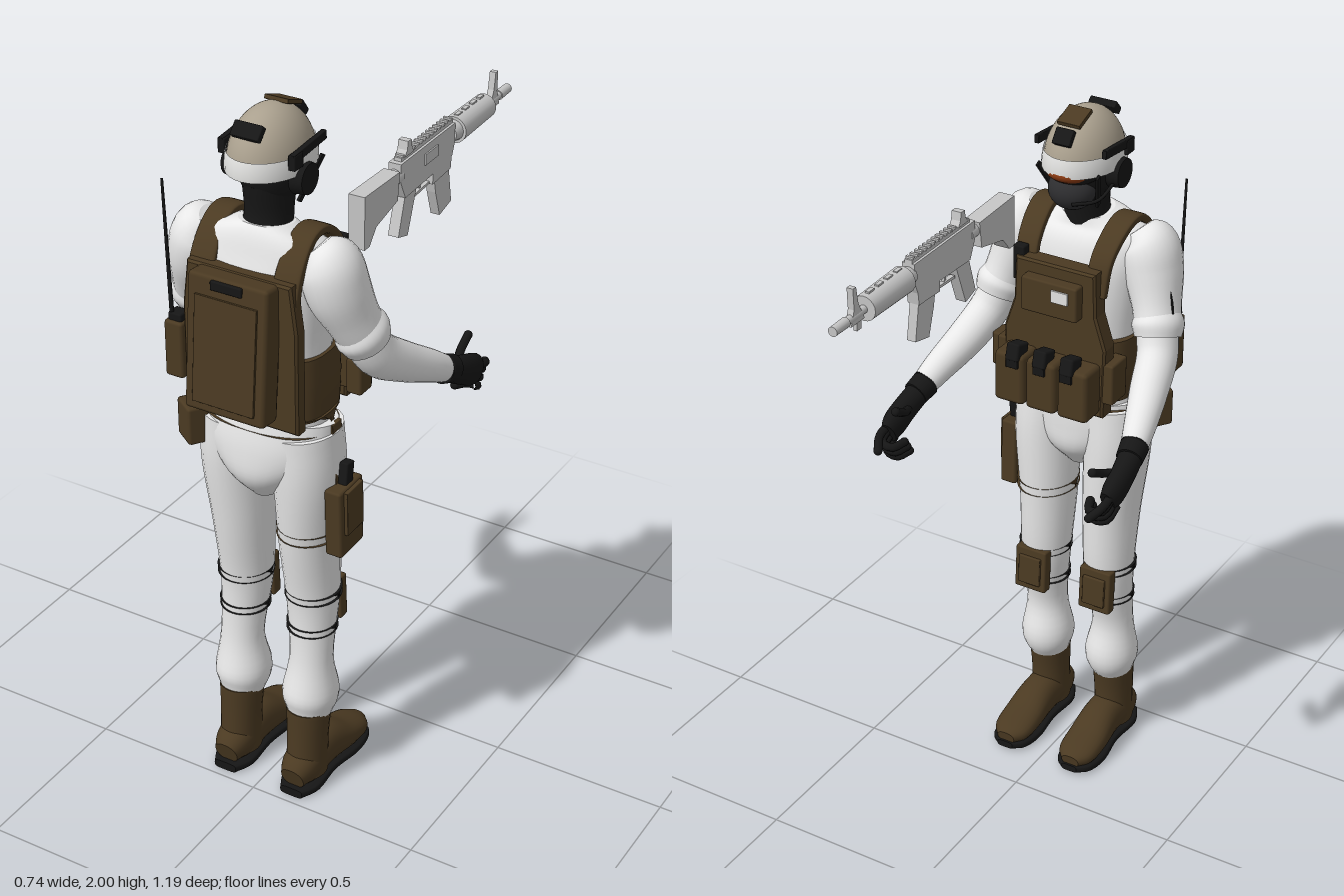
import * as THREE from 'three';
import { RoundedBoxGeometry } from 'three/addons/geometries/RoundedBoxGeometry.js';

const mat = (name, color, side = THREE.FrontSide) => {
  const m = new THREE.MeshStandardMaterial({ color, side });
  m.name = name;
  return m;
};

export function createModel() {
  const root = new THREE.Group();
  root.name = 'soldier';
  const suit = mat('white suit', 0xf2f2f2), brown = mat('brown gear', 0x4b3a22);
  const black = mat('black', 0x161616), shell = mat('helmet beige', 0xaaa08e, THREE.DoubleSide);
  const gun = mat('rifle grey', 0xc6c6c6), orange = mat('orange lens', 0x8a3a12);
  const grey = mat('dark grey mask', 0x2e2e30), trim = mat('helmet trim', 0xe4e4e2, THREE.DoubleSide);

  const add = (name, geo, m, parent = root) => {
    const mesh = new THREE.Mesh(geo, m);
    mesh.name = name;
    parent.add(mesh);
    return mesh;
  };
  const box = (name, m, [w, h, d], [x, y, z], [rx, ry, rz] = [0, 0, 0], parent = root) => {
    const b = add(name, new RoundedBoxGeometry(w, h, d, 1, Math.min(w, h, d) * 0.15), m, parent);
    b.position.set(x, y, z);
    b.rotation.set(rx, ry, rz);
    return b;
  };
  const ball = (name, m, [w, h, d], [x, y, z], t0 = 0, t1 = Math.PI) => {
    const b = add(name, new THREE.SphereGeometry(1, 32, 20, 0, Math.PI * 2, t0, t1 - t0), m);
    b.scale.set(w, h, d);
    b.position.set(x, y, z);
    return b;
  };

  // Smooth skin over sections [x, y, z, half width, half depth]; n above 2 squares the outline
  const loft = (name, m, secs, n = 2, seg = 24, sub = 5) => {
    const path = new THREE.CatmullRomCurve3(secs.map(s => new THREE.Vector3(s[0], s[1], s[2])), false, 'catmullrom');
    const size = new THREE.CatmullRomCurve3(secs.map(s => new THREE.Vector3(s[3], s[4], 0)), false, 'catmullrom');
    const rows = (secs.length - 1) * sub, pos = [], idx = [];
    const sq = v => Math.sign(v) * Math.pow(Math.abs(v), 2 / n);
    for (let i = 0; i <= rows; i++) {
      const c = path.getPoint(i / rows), r = size.getPoint(i / rows), t = path.getTangent(i / rows);
      const u = new THREE.Vector3(1, 0, 0).addScaledVector(t, -t.x).normalize();
      const v = new THREE.Vector3().crossVectors(t, u);
      for (let j = 0; j < seg; j++) {
        const a = (j / seg) * Math.PI * 2;
        const p = c.clone().addScaledVector(u, r.x * sq(Math.cos(a))).addScaledVector(v, r.y * sq(Math.sin(a)));
        pos.push(p.x, p.y, p.z);
        if (i < rows) {
          const k = (j + 1) % seg, A = i * seg;
          idx.push(A + j, A + k, A + seg + k, A + j, A + seg + k, A + seg + j);
        }
      }
    }
    // flat end caps with their own corners
    for (const i of [0, rows]) {
      const base = pos.length / 3;
      for (let j = 0; j < seg * 3; j++) pos.push(pos[i * seg * 3 + j]);
      const c = path.getPoint(i / rows);
      pos.push(c.x, c.y, c.z);
      for (let j = 0; j < seg; j++) {
        const k = (j + 1) % seg;
        idx.push(base + seg, base + (i ? j : k), base + (i ? k : j));
      }
    }
    const g = new THREE.BufferGeometry();
    g.setAttribute('position', new THREE.Float32BufferAttribute(pos, 3));
    g.setIndex(idx);
    g.computeVertexNormals();
    return add(name, g, m);
  };
  const band = (name, m, x, y, z, rx, rz, h) =>
    loft(name, m, [[x, y - h / 2, z, rx, rz], [x, y + h / 2, z, rx, rz]], 2, 28, 1);

  // Torso and pelvis
  loft('torso', suit, [[0, 1.1, .37, .17, .11], [0, 1.2, .37, .165, .11], [0, 1.35, .365, .16, .115],
    [0, 1.5, .37, .175, .12], [0, 1.6, .375, .19, .11], [0, 1.66, .38, .17, .085], [0, 1.7, .375, .07, .065]], 2.3, 32);
  loft('pelvis', suit, [[0, .93, .38, .04, .06], [0, 1, .38, .12, .115], [0, 1.08, .378, .185, .12], [0, 1.17, .37, .19, .11]], 2, 32);

  for (const s of [-1, 1]) {
    // Legs and boots
    loft('leg', suit, [[s * .1, 1.14, .37, .098, .105], [s * .11, 1, .365, .092, .108], [s * .103, .8, .355, .08, .095],
      [s * .104, .6, .345, .071, .076], [s * .11, .42, .365, .06, .058], [s * .108, .3, .367, .077, .082], [s * .108, .235, .375, .06, .064]]);
    loft('bootShaft', brown, [[s * .108, .25, .378, .061, .066], [s * .108, .16, .385, .056, .062], [s * .108, .04, .39, .055, .065]]);
    loft('bootFoot', brown, [[s * .108, .055, .468, .035, .035], [s * .108, .07, .42, .053, .055], [s * .108, .078, .32, .054, .062],
      [s * .11, .058, .23, .06, .042], [s * .11, .045, .16, .055, .03], [s * .11, .04, .123, .028, .018]], 2.3);
    loft('bootSole', black, [[s * .108, .013, .476, .035, .013], [s * .108, .013, .42, .058, .013], [s * .108, .013, .32, .052, .013],
      [s * .11, .013, .22, .065, .013], [s * .11, .016, .15, .056, .013], [s * .11, .018, .118, .025, .01]], 4);
    // Knee pads
    for (const [y, r, d, z] of [[.62, .077, .08, .346], [.515, .07, .071, .353]]) band('kneeStrap', black, s * .106, y, z, r, d, .02);
    box('kneePad', brown, [.1, .135, .035], [s * .106, .565, .272], [.05, 0, 0]);
    box('kneePadPlate', brown, [.07, .09, .02], [s * .106, .565, .256], [.05, 0, 0]);

    // Arms
    loft('sleeve', suit, [[s * .15, 1.665, .385, .04, .045], [s * .18, 1.63, .383, .077, .083], [s * .2, 1.56, .375, .08, .088],
      [s * .226, 1.48, .35, .066, .075], [s * .245, 1.42, .325, .062, .068]]);
    loft('sleeveCuff', suit, [[s * .235, 1.455, .34, .062, .068], [s * .243, 1.43, .33, .07, .077], [s * .25, 1.4, .318, .063, .068]]);
    loft('forearm', suit, [[s * .235, 1.45, .335, .056, .06], [s * .262, 1.36, .295, .055, .06], [s * .285, 1.3, .21, .052, .054],
      [s * .313, 1.245, .11, .043, .044], [s * .33, 1.205, .04, .034, .034]]);
    // Gloves
    loft('gloveCuff', black, [[s * .325, 1.215, .062, .039, .04], [s * .332, 1.198, .02, .036, .038]]);
    loft('palm', black, [[s * .33, 1.2, .035, .034, .034], [s * .337, 1.175, -.02, .031, .04], [s * .34, 1.15, -.075, .029, .044], [s * .338, 1.135, -.105, .02, .036]]);
    const finger = (name, pts) => {
      const curve = new THREE.CatmullRomCurve3(pts.map(p => new THREE.Vector3(s * p[0], p[1], p[2])));
      add(name, new THREE.TubeGeometry(curve, 10, .012, 8), black);
      ball('fingerTip', black, [.012, .012, .012], [s * pts.at(-1)[0], pts.at(-1)[1], pts.at(-1)[2]]);
    };
    finger('indexFinger', [[.345, 1.155, -.09], [.345, 1.14, -.14], [.325, 1.12, -.178]]);
    for (let i = 0; i < 3; i++) {
      const y = 1.135 - i * .02, z = -.09 + i * .012;
      finger('curledFinger', [[.345, y + .01, z], [.34, y - .012, z - .045], [.305, y - .018, z - .05], [.288, y - .012, z - .015]]);
    }
    finger('thumb', [[.322, 1.18, -.03], [.305, 1.195, -.075], [.302, 1.22, -.122]]);

    // Shoulder straps
    loft('shoulderStrap', brown, [[s * .105, 1.52, .235, .03, .012], [s * .112, 1.62, .255, .032, .012], [s * .12, 1.69, .335, .034, .012],
      [s * .122, 1.685, .41, .034, .012], [s * .122, 1.6, .475, .037, .013], [s * .122, 1.48, .495, .037, .013]], 5, 24);

    // Headset and helmet rails
    const ear = add('earCup', new THREE.CylinderGeometry(.04, .044, .035, 20), black);
    ear.rotation.z = s * -Math.PI / 2;
    ear.position.set(s * .098, 1.825, .36);
    box('helmetRail', black, [.014, .024, .15], [s * .101, 1.9, .345], [.08, 0, 0]);
    box('railClip', black, [.02, .04, .04], [s * .1, 1.885, .4]);
    box('chinStrap', black, [.008, .13, .016], [s * .074, 1.79, .29], [-.5, 0, s * -.25]);
  }

  // Head and helmet
  loft('neck', black, [[0, 1.66, .375, .066, .068], [0, 1.72, .365, .06, .066], [0, 1.8, .36, .064, .078]]);
  ball('head', black, [.084, .115, .1], [0, 1.84, .342]);
  ball('mask', grey, [.066, .056, .06], [0, 1.785, .285]);
  ball('goggleFrame', black, [.08, .042, .072], [0, 1.843, .293]);
  ball('goggleLens', orange, [.072, .032, .075], [0, 1.843, .286]);
  ball('helmet', shell, [.101, .143, .133], [0, 1.85, .35], 0, Math.PI * .52);
  ball('helmetRim', trim, [.105, .146, .138], [0, 1.85, .35], Math.PI * .41, Math.PI * .52);
  box('helmetMount', black, [.052, .045, .018], [0, 1.945, .238], [.65, 0, 0]);
  box('helmetPatch', brown, [.068, .012, .07], [0, 1.982, .293], [-.36, 0, 0]);
  box('helmetRearPouch', black, [.08, .04, .02], [0, 1.958, .452], [-.75, 0, 0]);
  const boom = new THREE.CatmullRomCurve3([[-.1, 1.81, .34], [-.085, 1.775, .27], [-.03, 1.765, .23]].map(p => new THREE.Vector3(...p)));
  add('microphone', new THREE.TubeGeometry(boom, 12, .005, 6), black);

  // Plate carrier
  loft('cummerbund', brown, [[0, 1.19, .365, .17, .12], [0, 1.28, .362, .172, .122], [0, 1.37, .362, .17, .12]], 3, 36);
  loft('belt', brown, [[0, 1.15, .37, .177, .118], [0, 1.2, .37, .177, .118]], 2.7, 36, 1);
  const panel = (name, pts, depth, z) => {
    const shape = new THREE.Shape([...pts, ...pts.slice().reverse().map(p => [-p[0], p[1]])].map(p => new THREE.Vector2(...p)));
    const g = new THREE.ExtrudeGeometry(shape, { depth, bevelSize: .006, bevelThickness: .006, bevelSegments: 1 });
    return add(name, g, brown).position.set(0, 0, z);
  };
  panel('frontPanel', [[.145, 1.18], [.15, 1.38], [.12, 1.47], [.115, 1.59]], .045, .203);
  panel('backPanel', [[.16, 1.2], [.16, 1.48], [.145, 1.6]], .03, .475);
  box('chestPouch', brown, [.17, .1, .04], [0, 1.51, .184]);
  box('chestPatch', trim, [.05, .035, .006], [-.035, 1.525, .162]);
  box('chestRadio', black, [.035, .1, .03], [.118, 1.57, .222]);
  for (const x of [-.1, 0, .1]) {
    box('magazinePouch', brown, [.092, .15, .085], [x * .98, 1.265, .163]);
    box('magazine', black, [.04, .05, .055], [x * .83, 1.345, .142], [.25, 0, 0]);
    box('pouchFlap', black, [.036, .035, .008], [x * .83, 1.322, .117]);
  }
  for (const s of [-1, 1]) box('sidePouch', brown, [.04, .12, .08], [s * .16, 1.28, .24]);

  // Backpack
  box('backpack', brown, [.232, .37, .07], [0, 1.42, .54], [-.09, 0, 0]);
  box('backpackPanel', brown, [.18, .29, .012], [0, 1.41, .576], [-.09, 0, 0]);
  box('backpackHandle', black, [.09, .025, .018], [0, 1.587, .558]);

  // Radio, antenna and hip pouches
  box('radioPouch', brown, [.055, .16, .06], [-.222, 1.315, .45]);
  box('radioTop', black, [.04, .03, .04], [-.222, 1.4, .45]);
  const ant = add('antenna', new THREE.CylinderGeometry(.0035, .006, .39, 8), black);
  ant.position.set(-.235, 1.595, .47);
  ant.rotation.x = .05;
  box('armDevice', black, [.012, .08, .055], [-.279, 1.5, .35], [.2, 0, -.25]);
  box('hipPouch', brown, [.08, .11, .06], [-.185, 1.11, .455], [0, -.6, 0]);
  box('utilityPouch', brown, [.045, .1, .06], [.2, 1.27, .27]);

  // Holster on the thigh
  box('holster', brown, [.05, .2, .115], [.212, .9, .365], [.03, 0, 0]);
  box('holsterFlap', brown, [.014, .13, .08], [.24, .93, .365], [.03, 0, 0]);
  box('pistolGrip', black, [.026, .075, .035], [.215, 1.02, .36], [-.15, 0, 0]);
  box('holsterHanger', brown, [.012, .2, .045], [.192, 1.07, .365], [0, 0, .06]);
  band('thighStrap', brown, .106, .83, .357, .087, .1, .025);

  // Rifle, with outlines given as [forward, up]
  const rifle = new THREE.Group();
  rifle.name = 'rifle';
  root.add(rifle);
  const plate = (name, pts, w, x = 0) => {
    const g = new THREE.ExtrudeGeometry(new THREE.Shape(pts.map(p => new THREE.Vector2(...p))), { depth: w, bevelEnabled: false });
    g.translate(0, 0, -w / 2).rotateY(Math.PI / 2).translate(x, 0, 0);
    return add(name, g, gun, rifle);
  };
  const rod = (name, r0, r1, f0, f1, y) => {
    const c = add(name, new THREE.CylinderGeometry(r1, r0, f1 - f0, 20), gun, rifle);
    c.rotation.x = -Math.PI / 2;
    c.position.set(0, y, -(f0 + f1) / 2);
  };
  plate('stock', [[-.24, 1.6], [-.215, 1.6], [-.18, 1.64], [-.07, 1.665], [-.06, 1.74], [-.24, 1.745]], .046);
  rod('bufferTube', .021, .021, -.07, -.03, 1.715);
  plate('receiver', [[-.045, 1.7], [-.02, 1.65], [.12, 1.655], [.235, 1.665], [.25, 1.7], [.25, 1.752], [-.045, 1.752]], .036);
  plate('topRail', [[-.03, 1.75], [.25, 1.75], [.25, 1.762], [-.03, 1.762]], .022);
  for (let i = 0; i < 14; i++) box('railTooth', gun, [.024, .007, .009], [0, 1.764, .02 - i * .02], [0, 0, 0], rifle);
  plate('pistolHandle', [[-.05, 1.55], [0, 1.535], [.048, 1.66], [-.015, 1.66]], .03);
  plate('magazineWell', [[.13, 1.625], [.23, 1.63], [.235, 1.67], [.13, 1.67]], .034);
  plate('rifleMagazine', [[.18, 1.515], [.245, 1.53], [.222, 1.66], [.14, 1.66], [.155, 1.59]], .026);
  plate('triggerGuard', [[.04, 1.62], [.135, 1.625], [.135, 1.632], [.04, 1.628]], .014);
  plate('trigger', [[.075, 1.655], [.085, 1.655], [.088, 1.63], [.08, 1.632]], .008);
  rod('barrelNut', .024, .03, .245, .28, 1.718);
  rod('handguard', .037, .034, .275, .455, 1.718);
  for (let i = 0; i < 4; i++) box('handguardRib', gun, [.012, .006, .025], [0, 1.754, -.3 - i * .042], [0, 0, 0], rifle);
  rod('barrel', .011, .011, .45, .58, 1.717);
  rod('muzzle', .014, .013, .535, .592, 1.717);
  plate('frontSight', [[.465, 1.7], [.525, 1.7], [.51, 1.74], [.512, 1.798], [.498, 1.798], [.49, 1.75]], .018);
  plate('slingMount', [[.475, 1.675], [.495, 1.675], [.495, 1.705], [.475, 1.705]], .01);
  plate('rearSight', [[-.02, 1.76], [.03, 1.76], [.02, 1.775], [.016, 1.798], [-.002, 1.798], [-.006, 1.775]], .028);
  plate('ejectionCover', [[.08, 1.7], [.15, 1.7], [.15, 1.73], [.08, 1.73]], .006, .019);
  rifle.rotation.y = .022;
  rifle.position.x = .168;

  return root;
}
